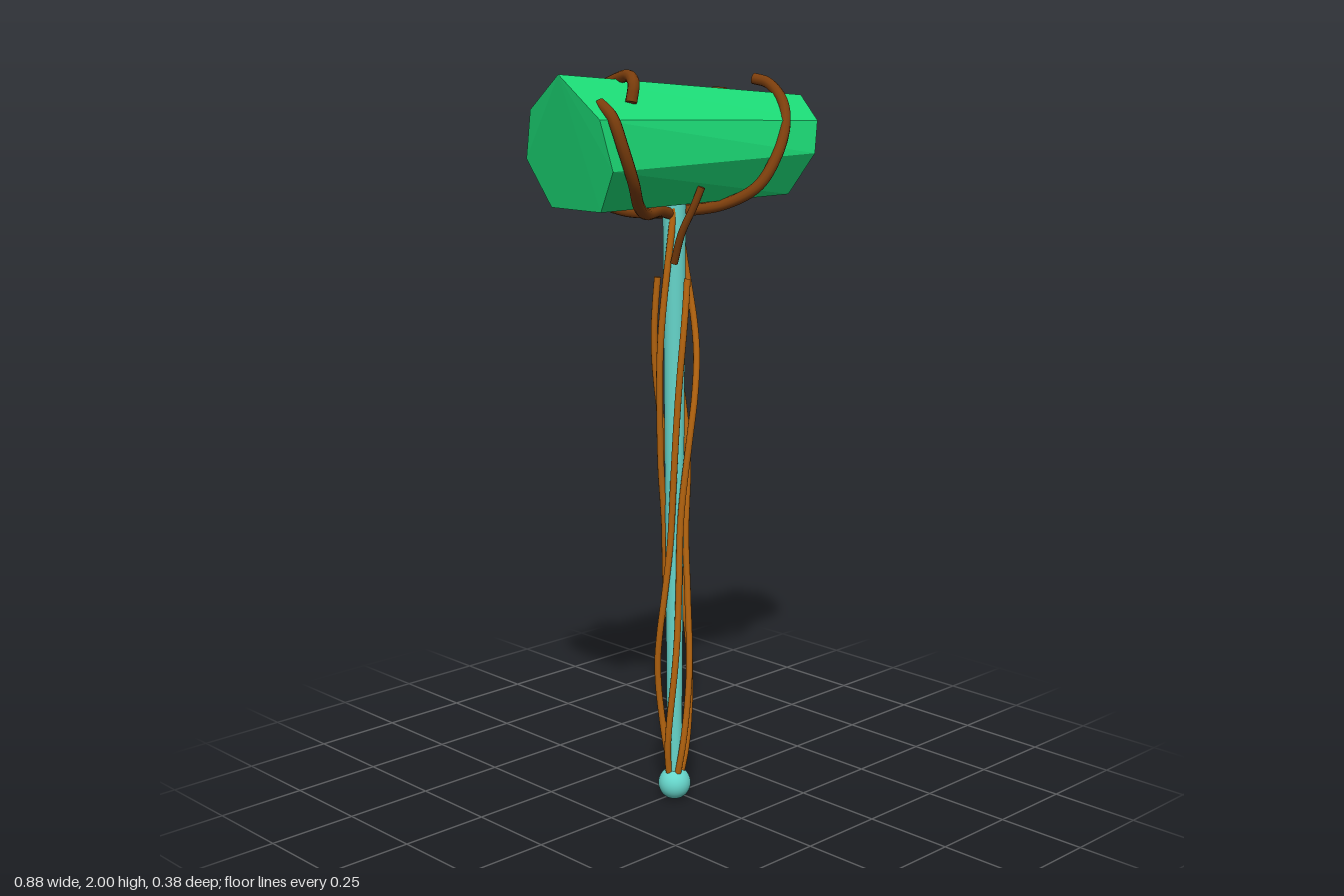
import * as THREE from 'three';

const V = (p) => new THREE.Vector3(...p);
const mat = (color, extra = {}) => new THREE.MeshStandardMaterial({ color, ...extra });

// Tapered seven-sided stone with slanted ends
function headGeometry() {
  const left = [[-0.44, 1.99, 0.04], [-0.41, 1.885, 0.155], [-0.38, 1.76, 0.168], [-0.355, 1.655, 0.095],
    [-0.355, 1.655, -0.09], [-0.383, 1.775, -0.152], [-0.41, 1.9, -0.102]];
  const right = [[0.437, 1.915, 0.035], [0.417, 1.85, 0.115], [0.383, 1.765, 0.138], [0.337, 1.655, 0.085],
    [0.337, 1.655, -0.09], [0.383, 1.775, -0.152], [0.417, 1.875, -0.102]];
  const n = left.length, pos = [];
  for (let i = 0; i < n; i++) {
    const j = (i + 1) % n;
    pos.push(...right[i], ...left[i], ...right[j], ...left[i], ...left[j], ...right[j]);
    if (i > 0 && i < n - 1) {
      pos.push(...right[0], ...right[i], ...right[j], ...left[0], ...left[j], ...left[i]);
    }
  }
  const g = new THREE.BufferGeometry();
  g.setAttribute('position', new THREE.Float32BufferAttribute(pos, 3));
  g.computeVertexNormals();
  return g;
}

// Round cord through points, closed by a flat disc at both ends
function cord(name, points, radius, material, segments) {
  const group = new THREE.Group();
  group.name = name;
  const curve = new THREE.CatmullRomCurve3(points);
  group.add(new THREE.Mesh(new THREE.TubeGeometry(curve, segments, radius, 10), material));
  for (const [t, sign] of [[0, -1], [1, 1]]) {
    const cap = new THREE.Mesh(new THREE.CircleGeometry(radius, 10), material);
    cap.position.copy(curve.getPoint(t));
    cap.quaternion.setFromUnitVectors(new THREE.Vector3(0, 0, 1), curve.getTangent(t).multiplyScalar(sign));
    group.add(cap);
  }
  return group;
}

export function createModel() {
  const model = new THREE.Group();
  const teal = mat(0x66d6cb), green = mat(0x1cde78, { flatShading: true });
  const bark = mat(0x7a3d0c), orange = mat(0xb8660f);
  const cx = -0.03, cz = 0.02;

  const head = new THREE.Mesh(headGeometry(), green);
  head.name = 'head';
  model.add(head);

  // Handle and its end knob
  const handle = new THREE.Mesh(new THREE.CylinderGeometry(0.031, 0.02, 1.61, 20), teal);
  handle.position.set(cx, 0.865, cz);
  handle.name = 'handle';
  const knob = new THREE.Mesh(new THREE.SphereGeometry(0.045, 32, 20), teal);
  knob.position.set(cx, 0.045, cz);
  knob.name = 'knob';
  model.add(handle, knob);

  // Thin vines twisting up the handle: swollen twice, pinched at mid-height
  const swell = new THREE.SplineCurve([[0.07, 0.018], [0.18, 0.037], [0.38, 0.047], [0.6, 0.036], [0.78, 0.029],
    [0.98, 0.042], [1.25, 0.057], [1.45, 0.048], [1.64, 0.026]].map((p) => new THREE.Vector2(...p)));
  const vines = new THREE.Group();
  vines.name = 'handleVines';
  [[-1.9, 1], [-0.7, 1], [0.6, 0.88], [1.8, 1], [3.1, 0.88]].forEach(([phase, end], k) => {
    const pts = [];
    for (let i = 0; i <= 20; i++) {
      const t = (i / 20) * end, { x: y, y: r } = swell.getPoint(t);
      const a = phase + y * 2.3 + 0.25 * Math.sin(y * 5 + k);
      pts.push(new THREE.Vector3(cx + 0.005 * t + r * Math.sin(a), y, cz + r * Math.cos(a)));
    }
    vines.add(cord('vine' + (k + 1), pts, 0.009, orange, 90));
  });
  model.add(vines);

  // Thick roots gripping the head
  const roots = {
    frontRightRoot: [[-0.365, 1.92, 0.105], [-0.37, 1.89, 0.155], [-0.355, 1.82, 0.175], [-0.31, 1.73, 0.165],
      [-0.25, 1.665, 0.12], [-0.18, 1.637, 0.075], [-0.1, 1.637, 0.04], [-0.03, 1.62, 0.02]],
    frontLeftRoot: [[0.325, 1.96, -0.038], [0.34, 1.95, 0.0], [0.33, 1.91, 0.06], [0.285, 1.85, 0.118],
      [0.22, 1.77, 0.15], [0.15, 1.69, 0.145], [0.08, 1.645, 0.09], [-0.03, 1.628, 0.02]],
    backRightRoot: [[-0.267, 1.92, 0.112], [-0.255, 1.965, 0.108], [-0.24, 1.983, 0.075], [-0.235, 1.965, 0.0],
      [-0.23, 1.925, -0.09], [-0.23, 1.86, -0.15], [-0.225, 1.77, -0.17], [-0.2, 1.68, -0.13],
      [-0.14, 1.635, -0.06], [-0.03, 1.625, 0.01]],
    backLeftRoot: [[0.215, 1.925, -0.036], [0.208, 1.922, -0.09], [0.198, 1.885, -0.145], [0.19, 1.8, -0.172],
      [0.175, 1.71, -0.155], [0.14, 1.65, -0.09], [0.07, 1.632, -0.03], [-0.03, 1.622, 0.02]],
    lowerRoot: [[-0.03, 1.625, 0.03], [0.05, 1.633, -0.01], [0.11, 1.635, -0.02], [0.16, 1.645, -0.01]],
  };
  for (const [name, pts] of Object.entries(roots)) model.add(cord(name, pts.map(V), 0.015, bark, 60));

  // Small shoot rising from the handle onto the front of the head
  model.add(cord('shoot', [[-0.06, 1.5, 0.05], [-0.062, 1.58, 0.08], [-0.05, 1.65, 0.112], [-0.037, 1.7, 0.127]].map(V),
    0.01, bark, 30));
  return model;
}
